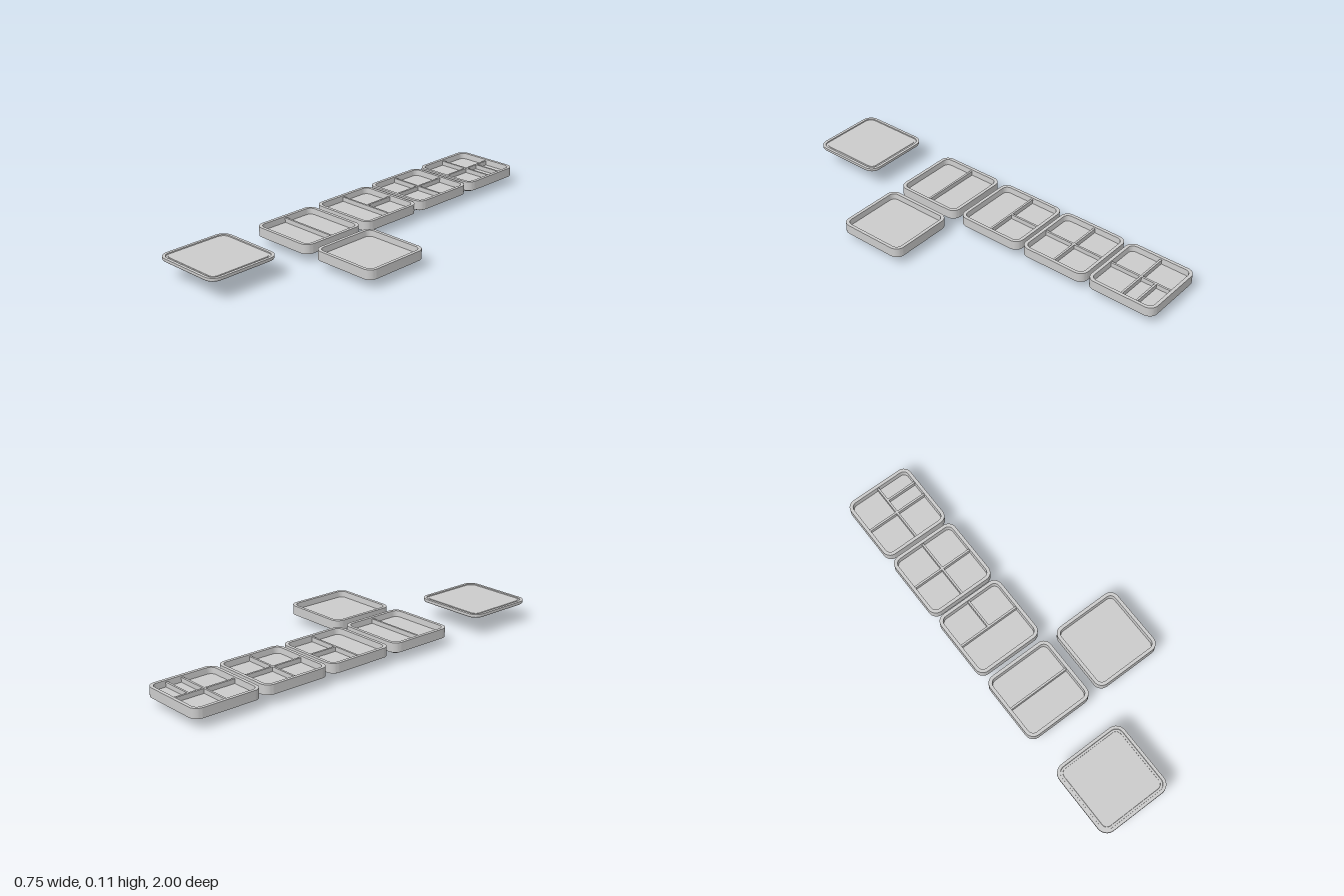
import * as THREE from 'three';
import { toCreasedNormals } from 'three/addons/utils/BufferGeometryUtils.js';

const material = new THREE.MeshStandardMaterial({ color: 0xcccccc });
const CORNER_STEPS = 8;

// Outline of a rounded square, walked from +x towards +z
function ring([half, y, radius]) {
  const points = [];
  for (let q = 0; q < 4; q++) {
    const mid = Math.PI / 4 + q * Math.PI / 2;
    const cx = Math.sign(Math.cos(mid)) * (half - radius);
    const cz = Math.sign(Math.sin(mid)) * (half - radius);
    for (let i = 0; i <= CORNER_STEPS; i++) {
      const a = (q + i / CORNER_STEPS) * Math.PI / 2;
      points.push([cx + radius * Math.cos(a), y, cz + radius * Math.sin(a)]);
    }
  }
  return points;
}

// Closed skin through rounded squares; each profile entry is [half size, y, corner radius]
function loft(profile) {
  const rings = profile.map(ring);
  const n = rings[0].length;
  const positions = [];
  for (let i = 0; i < rings.length - 1; i++) {
    for (let j = 0; j < n; j++) {
      const k = (j + 1) % n;
      const a = rings[i][j], b = rings[i][k], c = rings[i + 1][k], d = rings[i + 1][j];
      if (profile[i + 1][0] > 0) positions.push(...a, ...d, ...c);
      else positions.push(...a, ...d, ...b);
      if (profile[i][0] > 0 && profile[i + 1][0] > 0) positions.push(...a, ...c, ...b);
    }
  }
  const geometry = new THREE.BufferGeometry();
  geometry.setAttribute('position', new THREE.Float32BufferAttribute(positions, 3));
  return toCreasedNormals(geometry, 0.42);
}

function addMesh(parent, name, geometry, x = 0, y = 0, z = 0) {
  const mesh = new THREE.Mesh(geometry, material);
  mesh.name = name;
  mesh.position.set(x, y, z);
  parent.add(mesh);
}

const FLOOR = 0.064, DIVIDER_TOP = 0.086, INNER = 0.157, THICK = 0.01;

// Domed underside, upright wall, flat rim and shallow recess
const trayProfile = [
  [0, 0, 0], [0.03, 0.0008, 0.004], [0.06, 0.0025, 0.008], [0.085, 0.0055, 0.012],
  [0.103, 0.0105, 0.016], [0.113, 0.015, 0.018],
  [0.174, 0.047, 0.042], [0.174, 0.093, 0.042],
  [0.158, 0.093, 0.028], [0.156, FLOOR, 0.026], [0, FLOOR, 0],
];

// Flat plate with a raised edge, a groove and a recessed panel
const lidProfile = [
  [0, 0.093, 0], [0.182, 0.093, 0.046], [0.186, 0.099, 0.05], [0.186, 0.11, 0.05],
  [0.172, 0.11, 0.037], [0.171, 0.105, 0.036], [0.161, 0.105, 0.027],
  [0.16, 0.107, 0.026], [0, 0.107, 0],
];

// Dividers: [runs along x?, offset across, start, end], relative to the tray centre
const acrossFull = [true, 0, -INNER, INNER];
const deepFull = [false, 0, -INNER, INNER];
const trays = [
  { name: 'plainTray', x: 0.202, z: 0.283, dividers: [] },
  { name: 'twoPartTray', x: -0.191, z: 0.283, dividers: [acrossFull] },
  { name: 'threePartTray', x: -0.191, z: -0.095, dividers: [acrossFull, [false, 0, -INNER, 0]] },
  { name: 'fourPartTray', x: -0.191, z: -0.46, dividers: [acrossFull, deepFull] },
  { name: 'fivePartTray', x: -0.191, z: -0.826, dividers: [acrossFull, deepFull, [true, -0.079, 0, INNER]] },
];

export function createModel() {
  const model = new THREE.Group();
  model.name = 'traySet';
  const trayGeometry = loft(trayProfile);

  for (const { name, x, z, dividers } of trays) {
    const tray = new THREE.Group();
    tray.name = name;
    tray.position.set(x, 0, z);
    addMesh(tray, 'trayBody', trayGeometry);
    const height = DIVIDER_TOP - FLOOR + 0.004;
    for (const [alongX, offset, start, end] of dividers) {
      const length = end - start, middle = (start + end) / 2, y = DIVIDER_TOP - height / 2;
      if (alongX) addMesh(tray, 'divider', new THREE.BoxGeometry(length, height, THICK), middle, y, offset);
      else addMesh(tray, 'divider', new THREE.BoxGeometry(THICK, height, length), offset, y, middle);
    }
    model.add(tray);
  }

  addMesh(model, 'lid', loft(lidProfile), -0.192, 0, 0.814);
  return model;
}
